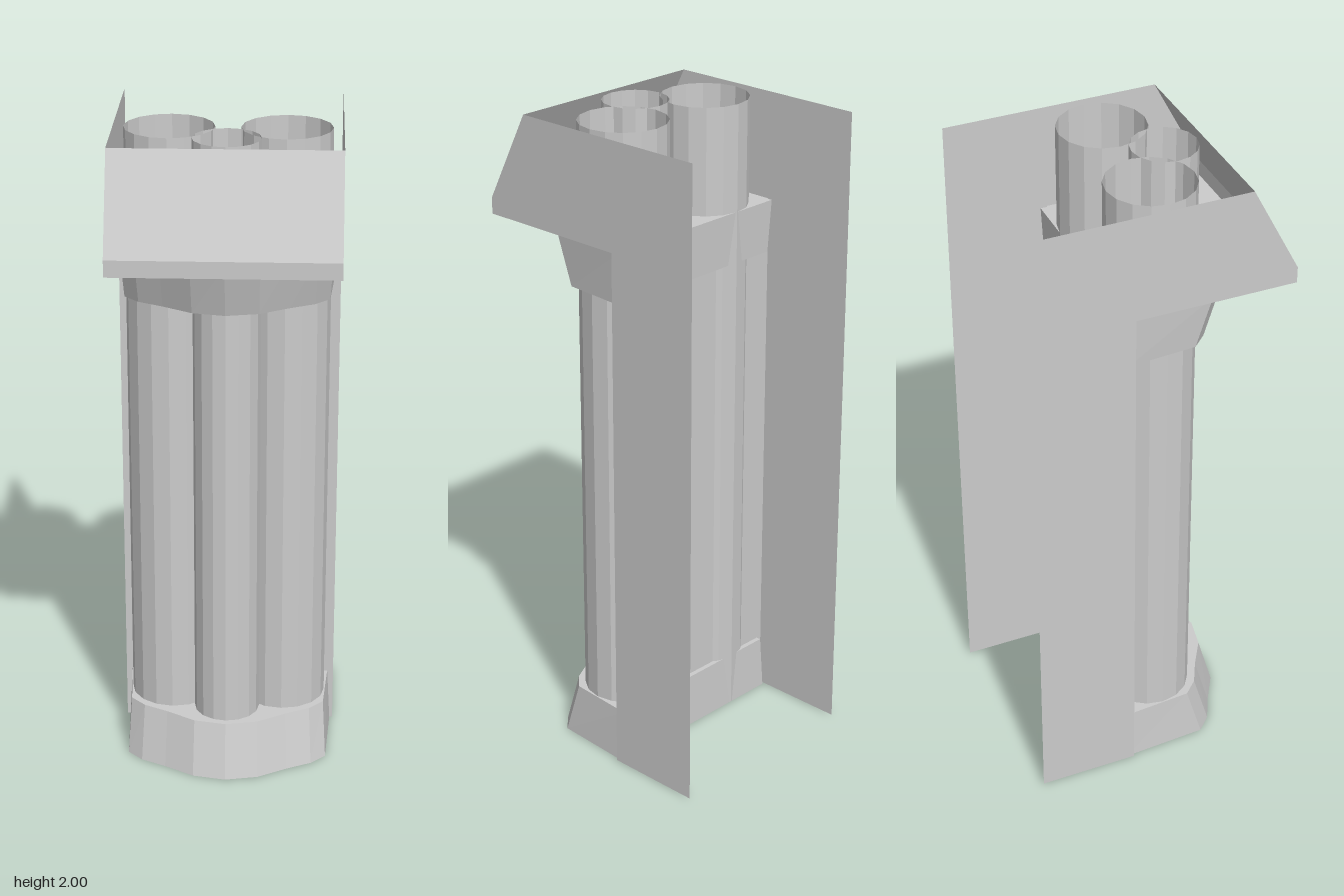
import * as THREE from 'three';

const material = new THREE.MeshStandardMaterial({
  color: 0xcccccc, flatShading: true, side: THREE.DoubleSide,
});

function add(group, name, geometry, x = 0, y = 0, z = 0) {
  const mesh = new THREE.Mesh(geometry, material);
  mesh.name = name;
  mesh.position.set(x, y, z);
  group.add(mesh);
  return mesh;
}

// Flat sheet from rows of points, each row a line in x at a given [y, z]
function sheet(rows, halfWidth) {
  const positions = [];
  for (let i = 0; i < rows.length - 1; i++) {
    const [[y0, z0], [y1, z1]] = [rows[i], rows[i + 1]];
    const a = [-halfWidth, y0, z0], b = [halfWidth, y0, z0];
    const c = [halfWidth, y1, z1], d = [-halfWidth, y1, z1];
    positions.push(...a, ...b, ...c, ...a, ...c, ...d);
  }
  const geometry = new THREE.BufferGeometry();
  geometry.setAttribute('position', new THREE.Float32BufferAttribute(positions, 3));
  geometry.computeVertexNormals();
  return geometry;
}

// Half outline of the wide end of a collar, as [x, z] from back to front
const halfOutline = [[0.325, -0.11], [0.31, 0.155], [0.265, 0.2], [0.19, 0.237], [0.1, 0.29], [0, 0.31]];
const mirrored = halfOutline.slice(0, -1).reverse().map(([x, z]) => [-x, z]);
const wideOutline = [...halfOutline, ...mirrored];
const narrowOutline = wideOutline.map(([x, z]) => [x * 0.97, z < 0 ? z + 0.005 : z - 0.047]);

function collarWall(low, yLow, high, yHigh) {
  const positions = [];
  low.forEach((p, i) => {
    const j = (i + 1) % low.length;
    const a = [p[0], yLow, p[1]], b = [low[j][0], yLow, low[j][1]];
    const c = [high[j][0], yHigh, high[j][1]], d = [high[i][0], yHigh, high[i][1]];
    positions.push(...b, ...a, ...d, ...b, ...d, ...c);
  });
  const geometry = new THREE.BufferGeometry();
  geometry.setAttribute('position', new THREE.Float32BufferAttribute(positions, 3));
  geometry.computeVertexNormals();
  return geometry;
}

function collarCap(outline) {
  const shape = new THREE.Shape(outline.map(([x, z]) => new THREE.Vector2(x, -z)));
  return new THREE.ShapeGeometry(shape).rotateX(-Math.PI / 2);
}

export function createModel() {
  const model = new THREE.Group();
  model.name = 'tubeColumn';

  // Side panels, each with an arm reaching forward to the hood
  const profile = [[0.26, 2], [0.405, 1.72], [0.405, 1.67], [-0.09, 1.67], [-0.09, 0], [-0.4, 0], [-0.4, 2]];
  const panelShape = new THREE.Shape(profile.map(([z, y]) => new THREE.Vector2(-z, y)));
  for (const [side, x] of [['left', 0.333], ['right', -0.333]]) {
    const panel = new THREE.ShapeGeometry(panelShape).rotateY(Math.PI / 2);
    if (x < 0) {
      // Reverse the winding so the panel faces outwards
      panel.index.array.reverse();
      panel.computeVertexNormals();
    }
    add(model, `${side}Panel`, panel, x);
  }

  // Hood: slope, lip and underside; top and back stay open
  add(model, 'hood', sheet([[1.67, -0.09], [1.67, 0.405], [1.72, 0.405], [2, 0.26]], 0.333));
  add(model, 'backWall', sheet([[0, -0.09], [1.67, -0.09]], 0.333));

  // Open tubes running the full height
  for (const [name, x, z, radius] of [
    ['leftTube', 0.17, 0.022, 0.133],
    ['rightTube', -0.17, 0.022, 0.133],
    ['middleTube', 0, 0.14, 0.1],
  ]) {
    add(model, name, new THREE.CylinderGeometry(radius, radius, 2, 16, 1, true), x, 1, z);
  }

  // Flared collars; the lower one is open underneath
  const lower = new THREE.Group();
  lower.name = 'lowerCollar';
  add(lower, 'lowerCollarWall', collarWall(wideOutline, 0, narrowOutline, 0.17));
  add(lower, 'lowerCollarTop', collarCap(narrowOutline), 0, 0.17);

  const upper = new THREE.Group();
  upper.name = 'upperCollar';
  add(upper, 'upperCollarWall', collarWall(narrowOutline, 1.51, wideOutline, 1.672));
  add(upper, 'upperCollarTop', collarCap(wideOutline), 0, 1.672);
  add(upper, 'upperCollarUnderside', collarCap(narrowOutline), 0, 1.51);

  model.add(lower, upper);
  return model;
}
